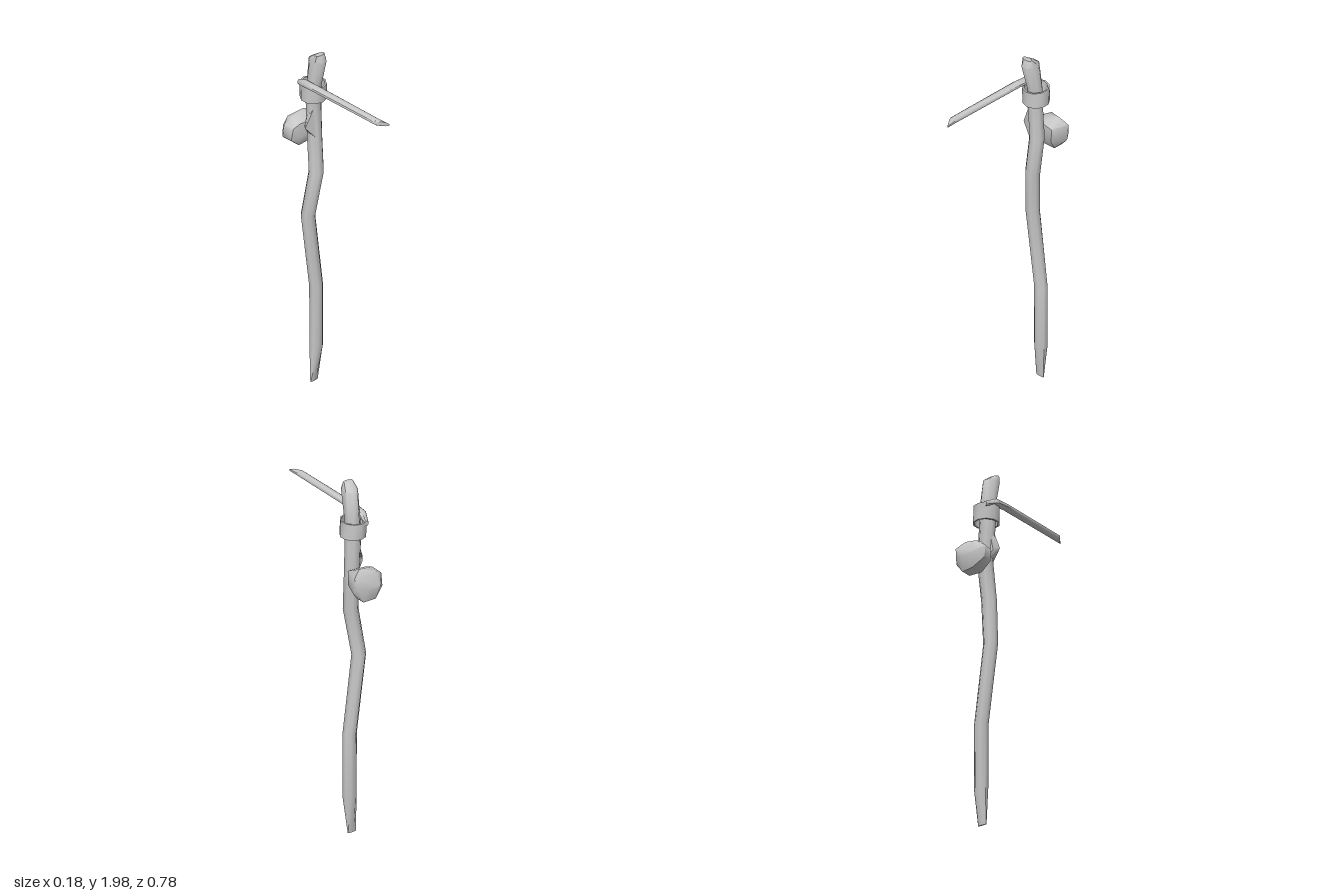
import * as THREE from 'three';
import { toCreasedNormals } from 'three/addons/utils/BufferGeometryUtils.js';
import { ConvexGeometry } from 'three/addons/geometries/ConvexGeometry.js';

const grey = new THREE.MeshStandardMaterial({ color: 0xc8c8c8 });
grey.name = 'plain grey';

// Skin elliptical sections [cx, cy, cz, halfWidth, halfDepth, skew].
// axis 'y': sections lie flat and run upward; axis 'z': they stand up and run toward -z.
function loft(sections, axis, sides, capped = true) {
  const pos = [], index = [];
  for (const [cx, cy, cz, ru, rv, skew = 0] of sections) {
    for (let j = 0; j < sides; j++) {
      const a = ((j + 0.5) / sides) * Math.PI * 2;
      const u = Math.cos(a) * ru, v = Math.sin(a) * rv, s = Math.cos(a) * skew;
      if (axis === 'y') pos.push(cx + u, cy + s, cz + v);
      else pos.push(cx + u, cy + v, cz + s);
    }
  }
  for (let i = 0; i < sections.length - 1; i++) {
    for (let j = 0; j < sides; j++) {
      const k = (j + 1) % sides, a = i * sides, b = a + sides;
      index.push(a + j, b + j, a + k, a + k, b + j, b + k);
    }
  }
  if (capped) {
    const end = (sections.length - 1) * sides;
    for (let j = 1; j < sides - 1; j++) {
      index.push(0, j, j + 1, end, end + j + 1, end + j);
    }
  }
  const g = new THREE.BufferGeometry();
  g.setAttribute('position', new THREE.Float32BufferAttribute(pos, 3));
  g.setIndex(index);
  return g;
}

function hull(points) {
  return new ConvexGeometry(points.map((p) => new THREE.Vector3(...p)));
}

export function createModel() {
  const group = new THREE.Group();
  const add = (name, geometry, crease) => {
    const mesh = new THREE.Mesh(toCreasedNormals(geometry, crease), grey);
    mesh.name = name;
    group.add(mesh);
  };

  // Crooked pole with a wedge foot and a blunt, slanted tip
  add('pole', loft([
    [0.012, 0.01, -0.223, 0.027, 0.004],
    [0.023, 0.22, -0.218, 0.038, 0.035],
    [0.022, 0.58, -0.218, 0.039, 0.035],
    [-0.036, 1.02, -0.218, 0.039, 0.039],
    [-0.006, 1.28, -0.188, 0.041, 0.041],
    [0.003, 1.50, -0.211, 0.042, 0.041],
    [-0.009, 1.72, -0.206, 0.045, 0.039],
    [-0.006, 1.80, -0.203, 0.042, 0.041],
    [-0.010, 1.955, -0.174, 0.042, 0.052],
    [-0.014, 1.993, -0.155, 0.030, 0.015],
  ], 'y', 8), 0.9);

  // Stub of a broken branch
  add('branchStub', hull([
    [-0.078, 1.56, -0.195], [-0.03, 1.67, -0.18], [-0.03, 1.67, -0.22],
    [-0.02, 1.49, -0.18], [-0.02, 1.49, -0.23], [0, 1.58, -0.2],
    [-0.055, 1.55, -0.225],
  ]), 0.8);

  // Loose collar round the pole
  add('collar', loft([
    [-0.004, 1.71, -0.211, 0.070, 0.072],
    [-0.006, 1.80, -0.211, 0.068, 0.074],
    [-0.006, 1.80, -0.211, 0.060, 0.064],
    [-0.004, 1.71, -0.211, 0.060, 0.062],
    [-0.004, 1.71, -0.211, 0.070, 0.072],
  ], 'y', 10, false), 0.8);

  // Long peg reaching forward, cut at a slant
  add('peg', loft([
    [-0.071, 1.820, 0.358, 0.022, 0.012, 0.034],
    [-0.074, 1.819, 0.325, 0.021, 0.018],
    [-0.067, 1.820, -0.13, 0.024, 0.018],
    [-0.062, 1.815, -0.215, 0.023, 0.020],
    [-0.042, 1.790, -0.278, 0.012, 0.015],
  ], 'z', 8), 0.9);

  // Rough stone behind the pole
  add('stone', hull([
    [-0.088, 1.45, -0.35], [-0.088, 1.52, -0.34], [-0.085, 1.45, -0.29],
    [-0.08, 1.52, -0.28], [-0.045, 1.56, -0.32], [0.045, 1.575, -0.33],
    [0.09, 1.54, -0.35], [0.09, 1.45, -0.34], [0.062, 1.54, -0.255],
    [0.06, 1.46, -0.255], [-0.04, 1.54, -0.27], [-0.04, 1.46, -0.265],
    [0.04, 1.395, -0.30], [-0.03, 1.40, -0.29], [0.04, 1.395, -0.36],
    [-0.03, 1.40, -0.37], [-0.045, 1.48, -0.392], [0.03, 1.47, -0.382],
    [0.08, 1.48, -0.362], [-0.04, 1.55, -0.362],
  ]), 0.9);

  return group;
}
